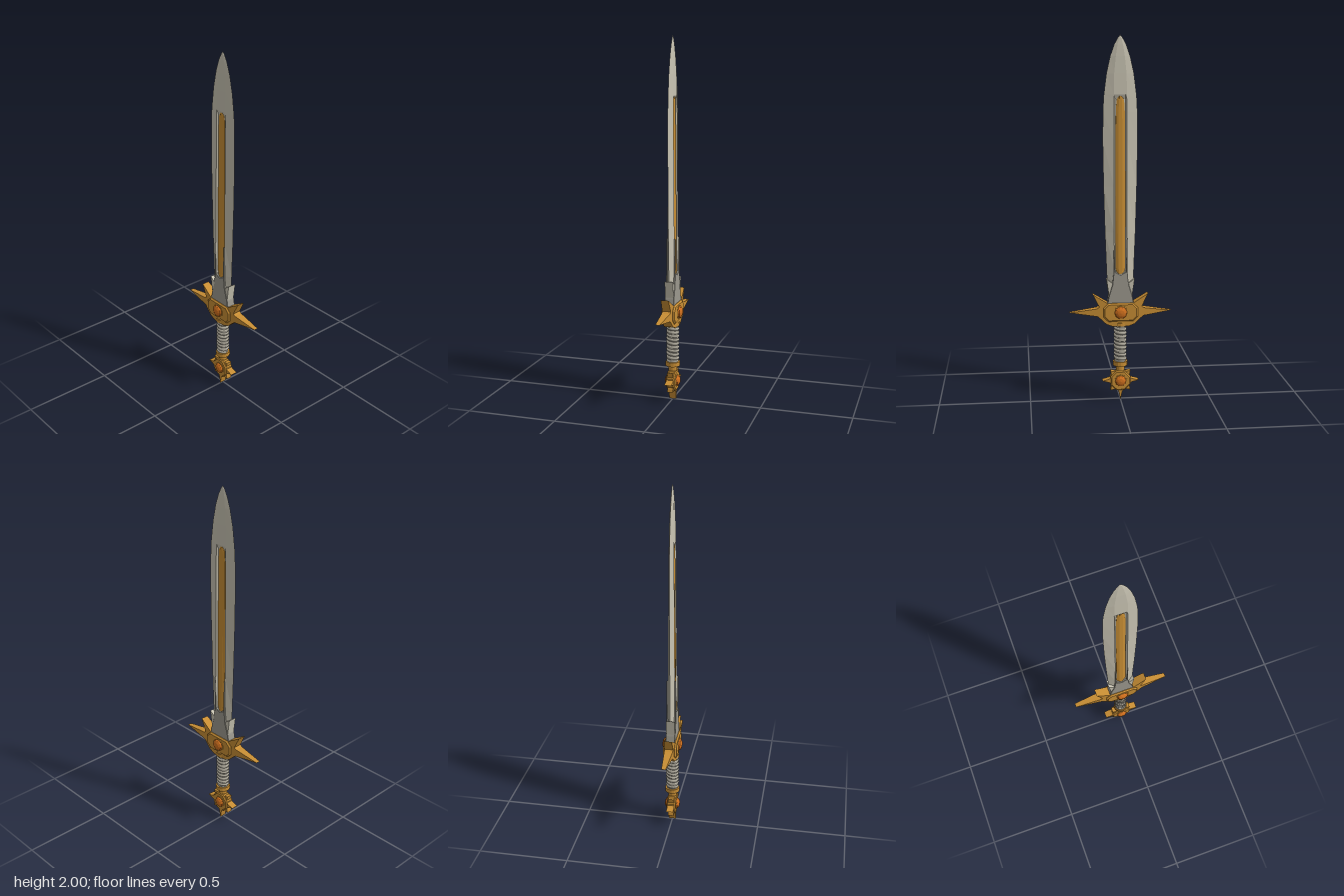
import * as THREE from 'three';

const mat = (name, color, extra = {}) => {
  const m = new THREE.MeshStandardMaterial({ color });
  m.name = name;
  return Object.assign(m, extra);
};

export function createModel() {
  const flat = { flatShading: true };
  const steel = mat('pale steel', 0xc8c3b2, flat);
  const darkSteel = mat('dark steel', 0x9c998e, flat);
  const gold = mat('gold', 0xc88e34, flat);
  const amber = mat('amber gem', 0xd0701e, flat);
  const wrap = mat('grip wrap', 0xb0ab9d);

  const group = new THREE.Group();
  group.name = 'sword';
  const add = (name, geometry, material, parent = group) => {
    const mesh = new THREE.Mesh(geometry, material);
    mesh.name = name;
    parent.add(mesh);
    return mesh;
  };

  // Full closed outline from its right half, listed bottom to top
  const mirrored = (half) => [...half, ...half.filter(p => p[0] > 0).reverse().map(([x, y]) => [-x, y])];

  // Slab centred on z = 0, with optional bevel
  const slab = (points, halfZ, bevel = 0) => {
    const shape = new THREE.Shape(points.map(([x, y]) => new THREE.Vector2(x, y)));
    const depth = 2 * (halfZ - bevel);
    return new THREE.ExtrudeGeometry(shape, {
      depth, bevelEnabled: bevel > 0, bevelSize: bevel, bevelThickness: bevel,
      bevelOffset: -bevel, bevelSegments: 1,
    }).translate(0, 0, -depth / 2);
  };

  // Skin over stacked rings; a ring mirrors its quarter section to all four quadrants
  const loft = (sections) => {
    const pos = [], idx = [];
    let n = 0;
    sections.forEach(({ y, quarter }) => {
      const upper = [...quarter, ...quarter.slice().reverse().map(([x, z]) => [-x, z])];
      const ring = [...upper, ...upper.slice(1, -1).reverse().map(([x, z]) => [x, -z])];
      n = ring.length;
      ring.forEach(([x, z]) => pos.push(x, y, z));
    });
    for (let s = 0; s < sections.length - 1; s++) {
      for (let i = 0; i < n; i++) {
        const a = s * n + i, b = s * n + (i + 1) % n;
        idx.push(a, b + n, b, a, a + n, b + n);
      }
    }
    const last = (sections.length - 1) * n;
    const c = pos.length / 3;
    pos.push(0, sections[0].y, 0, 0, sections.at(-1).y, 0);
    for (let i = 0; i < n; i++) {
      const j = (i + 1) % n;
      idx.push(c, i, j, c + 1, last + j, last + i);
    }
    const g = new THREE.BufferGeometry();
    g.setAttribute('position', new THREE.Float32BufferAttribute(pos, 3));
    g.setIndex(idx);
    g.computeVertexNormals();
    return g;
  };

  // Blade: [height, half width, half thickness, groove floor as share of thickness]
  const bladeRows = [
    [0.66, 0.072, 0.022, 1], [0.715, 0.074, 0.021, 1], [0.74, 0.075, 0.021, 0.4], [0.95, 0.083, 0.019, 0.4],
    [1.2, 0.09, 0.017, 0.4], [1.45, 0.094, 0.0155, 0.4], [1.6, 0.092, 0.014, 0.4],
    [1.665, 0.089, 0.0132, 0.4], [1.69, 0.087, 0.013, 1], [1.8, 0.073, 0.011, 1],
    [1.89, 0.053, 0.0085, 1], [1.95, 0.032, 0.0055, 1], [1.985, 0.013, 0.003, 1], [2, 0.0008, 0.0004, 1],
  ];
  add('blade', loft(bladeRows.map(([y, w, t, f]) => {
    const r = Math.min(0.035, w * 0.45);
    return { y, quarter: [[w, 0], [r, t], [r * 0.8, t * f], [r * 0.3, t * f]] };
  })), steel);

  // Gold inlay lying in the groove on both faces
  const inlayRows = [
    [0.72, 0.02, 0.021], [0.75, 0.026, 0.0205], [1.2, 0.027, 0.0165],
    [1.6, 0.024, 0.0135], [1.66, 0.02, 0.0128], [1.682, 0.01, 0.0126],
  ];
  add('bladeInlay', loft(inlayRows.map(([y, w, t]) => (
    { y, quarter: [[w, 0], [w, t * 0.6], [w * 0.4, t * 0.95]] }
  ))), gold);

  // Blunt blade base and the darker forked plate over it
  add('bladeBase', slab(mirrored([[0.058, 0.54], [0.064, 0.6], [0.077, 0.69], [0.04, 0.665]]), 0.0235), steel);
  add('forkedPlate', slab(mirrored([
    [0.074, 0.54], [0.066, 0.59], [0.045, 0.66], [0.039, 0.72], [0.036, 0.92], [0.029, 0.73], [0, 0.715],
  ]), 0.026, 0.002), darkSteel);

  // Guard: two tapering halves, each with a long side spike and a short upper spike
  const guard = new THREE.Group();
  guard.name = 'guard';
  group.add(guard);
  const wing = slab([
    [0, 0.425], [0.045, 0.426], [0.078, 0.438], [0.105, 0.464], [0.125, 0.482],
    [0.28, 0.505], [0.13, 0.526], [0.117, 0.535], [0.152, 0.606], [0.065, 0.552], [0, 0.552],
  ], 1);
  const p = wing.attributes.position;
  for (let i = 0; i < p.count; i++) p.setZ(i, p.getZ(i) * (0.033 - 0.075 * p.getX(i)));
  wing.computeVertexNormals();
  for (const side of [0, 1]) add(side ? 'rightGuardWing' : 'leftGuardWing', wing, gold, guard).rotation.y = side * Math.PI;
  add('guardPlate', slab(mirrored([[0.068, 0.453], [0.095, 0.48], [0.095, 0.53], [0.068, 0.557]]), 0.037, 0.008), gold, guard);

  // Faceted domed gems on front and back
  const gems = (name, y, radius, z, height) => {
    const g = new THREE.SphereGeometry(1, 10, 3, 0, Math.PI * 2, 0, Math.PI / 2)
      .rotateX(Math.PI / 2).scale(radius, radius, height);
    const rim = new THREE.CylinderGeometry(radius * 1.12, radius * 1.12, 2 * z + 0.004, 10).rotateX(Math.PI / 2);
    add(name + 'Setting', rim, gold).position.y = y;
    for (const side of [0, 1]) {
      const gem = add((side ? 'back' : 'front') + name, g, amber);
      gem.position.set(0, y, side ? -z : z);
      gem.rotation.y = side * Math.PI;
    }
  };
  gems('GuardGem', 0.505, 0.036, 0.037, 0.019);

  // Grip: core with a spiral cord around it
  add('gripCore', new THREE.CylinderGeometry(0.031, 0.031, 0.24, 20).translate(0, 0.325, 0), wrap);
  const turns = 10, cord = [];
  for (let i = 0; i <= turns * 12; i++) {
    const a = i / 12 * Math.PI * 2;
    cord.push(new THREE.Vector3(Math.cos(a) * 0.028, 0.225 + 0.21 * i / (turns * 12), Math.sin(a) * 0.028));
  }
  add('gripCord', new THREE.TubeGeometry(new THREE.CatmullRomCurve3(cord), turns * 18, 0.0095, 6), wrap);

  // Collars
  const collar = (name, y, r, h) => add(name, new THREE.CylinderGeometry(r, r, h, 16), gold).position.set(0, y, 0);
  collar('lowerCollar', 0.208, 0.04, 0.024);
  collar('pommelNeck', 0.183, 0.024, 0.03);
  collar('upperCollar', 0.436, 0.038, 0.018);

  // Pommel: octagonal disc with four long and four short spikes
  const pommel = new THREE.Group();
  pommel.name = 'pommel';
  pommel.position.y = 0.11;
  group.add(pommel);
  const disc = Array.from({ length: 8 }, (_, i) => {
    const a = (i + 0.5) * Math.PI / 4;
    return [Math.cos(a) * 0.06, Math.sin(a) * 0.06];
  });
  add('pommelDisc', slab(disc, 0.025, 0.006), gold, pommel);
  for (let i = 0; i < 8; i++) {
    const long = i % 2 === 0;
    const tip = i === 6 ? 0.11 : long ? 0.1 : 0.078;
    const spike = slab([[0.045, -0.02], [0.066, -0.009], [tip, 0], [0.066, 0.009], [0.045, 0.02]], long ? 0.02 : 0.016);
    add('pommelSpike', spike, gold, pommel).rotation.z = i * Math.PI / 4;
  }
  gems('PommelGem', 0.11, 0.032, 0.025, 0.018);

  return group;
}
